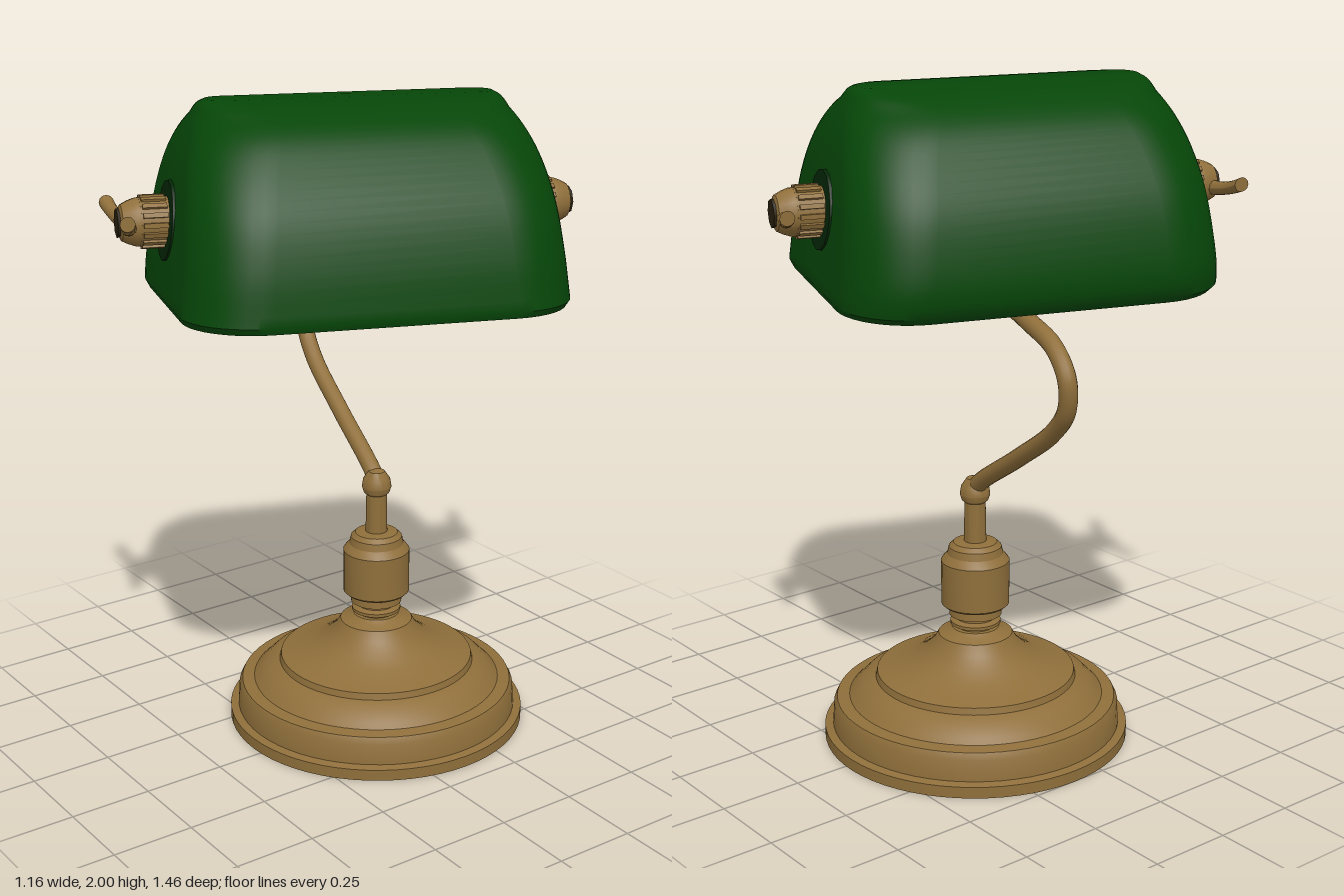
import * as THREE from 'three';
import { toCreasedNormals } from 'three/addons/utils/BufferGeometryUtils.js';

const material = (name, color) => {
  const m = new THREE.MeshStandardMaterial({ color });
  m.name = name;
  return m;
};

export function createModel() {
  const brass = material('brass', 0x8f6f3b);
  const darkBrass = material('dark brass', 0x2c2310);
  const green = material('green glass', 0x064608);
  const darkGreen = material('dark green washer', 0x042605);
  const model = new THREE.Group();
  model.name = 'deskLamp';

  const add = (parent, name, geometry, mat, x = 0, y = 0, z = 0) => {
    const mesh = new THREE.Mesh(geometry, mat);
    mesh.name = name;
    mesh.position.set(x, y, z);
    parent.add(mesh);
    return mesh;
  };
  const lathe = (points, segments = 48) => toCreasedNormals(
    new THREE.LatheGeometry(points.map(([r, y]) => new THREE.Vector2(r, y)), segments), 0.5);

  // Stepped foot, neck rings, socket and stem in turned brass
  const cx = -0.035, cz = -0.113;
  add(model, 'base', lathe([
    [0, 0], [0.467, 0], [0.467, 0.035], [0.442, 0.04], [0.438, 0.105], [0.428, 0.125], [0.39, 0.13],
    [0.375, 0.145], [0.345, 0.175], [0.308, 0.187], [0.303, 0.207], [0.27, 0.216], [0.21, 0.235],
    [0.165, 0.262], [0.13, 0.295], [0.113, 0.325], [0.085, 0.335], [0.072, 0.345], [0, 0.345],
  ], 64), brass, cx, 0, cz);
  add(model, 'neckAndSocket', lathe([
    [0.058, 0.33], [0.058, 0.35], [0.077, 0.356], [0.077, 0.366], [0.06, 0.373], [0.06, 0.38],
    [0.08, 0.386], [0.078, 0.41], [0.095, 0.415], [0.104, 0.423], [0.104, 0.56], [0.095, 0.572],
    [0.085, 0.582], [0.08, 0.605], [0.066, 0.618], [0.034, 0.622], [0.032, 0.745], [0.04, 0.752],
    [0.046, 0.77], [0.042, 0.795], [0.025, 0.82], [0, 0.828],
  ], 32), brass, cx, 0, cz);

  // Bent arm
  const armPath = new THREE.CatmullRomCurve3([
    [-0.035, 0.78, -0.113], [-0.06, 0.81, -0.117], [-0.28, 0.95, -0.145], [-0.46, 1.072, -0.17],
    [-0.54, 1.16, -0.19], [-0.55, 1.25, -0.2], [-0.48, 1.323, -0.187], [-0.336, 1.367, -0.16],
    [-0.19, 1.395, -0.12], [-0.135, 1.425, -0.11],
  ].map((p) => new THREE.Vector3(...p)));
  add(model, 'arm', new THREE.TubeGeometry(armPath, 80, 0.027, 14), brass);
  add(model, 'armCollar', new THREE.SphereGeometry(0.034, 16, 12), brass, -0.175, 1.402, -0.118);

  // Shade group: local x across, z along the length, tipped a little
  const shade = new THREE.Group();
  shade.name = 'shade';
  shade.rotation.set(-0.012, -0.34, 0.05, 'YXZ');
  shade.position.set(0, 1.42, 0.008);
  model.add(shade);

  // One rounded rectangle of the shade
  const CORNER = 10;
  const ring = (hw, h, hl) => {
    const r = Math.min(0.21, hw * 0.95);
    const pts = [];
    for (let q = 0; q < 4; q++) {
      const sx = q === 0 || q === 3 ? 1 : -1, sz = q < 2 ? 1 : -1;
      for (let i = 0; i <= CORNER; i++) {
        const a = (q + i / CORNER) * Math.PI / 2;
        const x = sx * (hw - r) + r * Math.cos(a);
        const tuck = x < 0 && h < 0.1 ? 0.03 * (1 - h / 0.1) ** 2 * Math.min(1, -x / 0.3) : 0;
        pts.push(x + tuck, h, sz * (hl - r) + r * Math.sin(a));
      }
    }
    return pts;
  };
  // Outer dome: half width, height, half length
  const dome = new THREE.CatmullRomCurve3([
    [0.477, 0.02, 0.566], [0.462, 0.16, 0.55], [0.422, 0.3, 0.533], [0.348, 0.42, 0.51],
    [0.273, 0.502, 0.48], [0.16, 0.56, 0.45], [0.06, 0.578, 0.425],
  ].map((p) => new THREE.Vector3(...p)));
  const rings = [[0.437, 0.032, 0.526], [0.442, 0.002, 0.531], [0.467, 0, 0.557]];
  for (const p of dome.getPoints(28)) rings.push([p.x, p.y, p.z]);
  const n = 4 * (CORNER + 1), last = (rings.length - 1) * n, floor = last + n, index = [];
  for (let j = 0; j < n; j++) {
    const k = (j + 1) % n;
    for (let i = 0; i < last; i += n) index.push(i + j, i + j + n, i + k, i + k, i + j + n, i + k + n);
    index.push(floor, j, k, last + j, floor + 1, last + k);
  }
  // Centres of the recessed underside and of the crown close the shell
  const points = [...rings.flatMap((p) => ring(...p)), 0, 0.032, 0, 0, 0.58, 0];
  const shell = new THREE.BufferGeometry();
  shell.setAttribute('position', new THREE.Float32BufferAttribute(points, 3));
  shell.setIndex(index);
  add(shade, 'shadeShell', toCreasedNormals(shell, 0.6), green);

  // Mounting flange under the shade
  add(shade, 'flange', lathe([
    [0, -0.022], [0.035, -0.02], [0.06, 0.002], [0.115, 0.012], [0.125, 0.022], [0.12, 0.034], [0, 0.034],
  ], 32), brass, -0.16, 0, -0.075);

  // Wing: a tapered bar that rises and flares towards its tip
  const wing = (side) => {
    const g = new THREE.CylinderGeometry(0.025, 0.028, 1, 12, 10);
    const p = g.attributes.position;
    for (let i = 0; i < p.count; i++) {
      const t = p.getY(i) + 0.5;
      const s = 0.75 + 0.5 * (t - 0.5) ** 2;
      p.setXYZ(i, side * (0.03 + 0.16 * t), -0.008 + 0.036 * t * t - p.getX(i) * s,
        0.115 + 0.03 * t + side * p.getZ(i) * s);
    }
    g.computeVertexNormals();
    return g;
  };

  // Wing-nut knob at each end: washer, ribbed barrel, rounded cap
  const knob = (name, sides, turned) => {
    const k = new THREE.Group();
    k.name = name;
    k.position.set(turned ? -0.02 : -0.01, 0.238, turned ? -0.538 : 0.538);
    if (turned) k.rotation.y = Math.PI;
    shade.add(k);
    add(k, 'washer', new THREE.CylinderGeometry(0.115, 0.12, 0.024, 16), darkGreen, 0, 0, -0.003)
      .rotation.x = Math.PI / 2 - 0.11;
    add(k, 'barrel', new THREE.CylinderGeometry(0.07, 0.07, 0.09, 24), brass, 0, 0, 0.04)
      .rotation.x = Math.PI / 2;
    for (let i = 0; i < 16; i++) {
      const a = i * Math.PI / 8;
      add(k, 'rib', new THREE.BoxGeometry(0.014, 0.014, 0.07), brass, 0.07 * Math.cos(a), 0.07 * Math.sin(a), 0.045)
        .rotation.z = a;
    }
    add(k, 'cap', lathe([[0.07, 0.08], [0.069, 0.095], [0.062, 0.115], [0.052, 0.135], [0.042, 0.14], [0, 0.14]], 20), brass)
      .rotation.x = Math.PI / 2;
    add(k, 'capCentre', new THREE.CylinderGeometry(0.042, 0.042, 0.009, 8), darkBrass, 0, 0, 0.143)
      .rotation.x = Math.PI / 2;
    for (const s of sides) add(k, 'wing', wing(s), brass);
  };
  knob('frontKnob', [1, -1], false);
  knob('backKnob', [1], true);

  return model;
}
